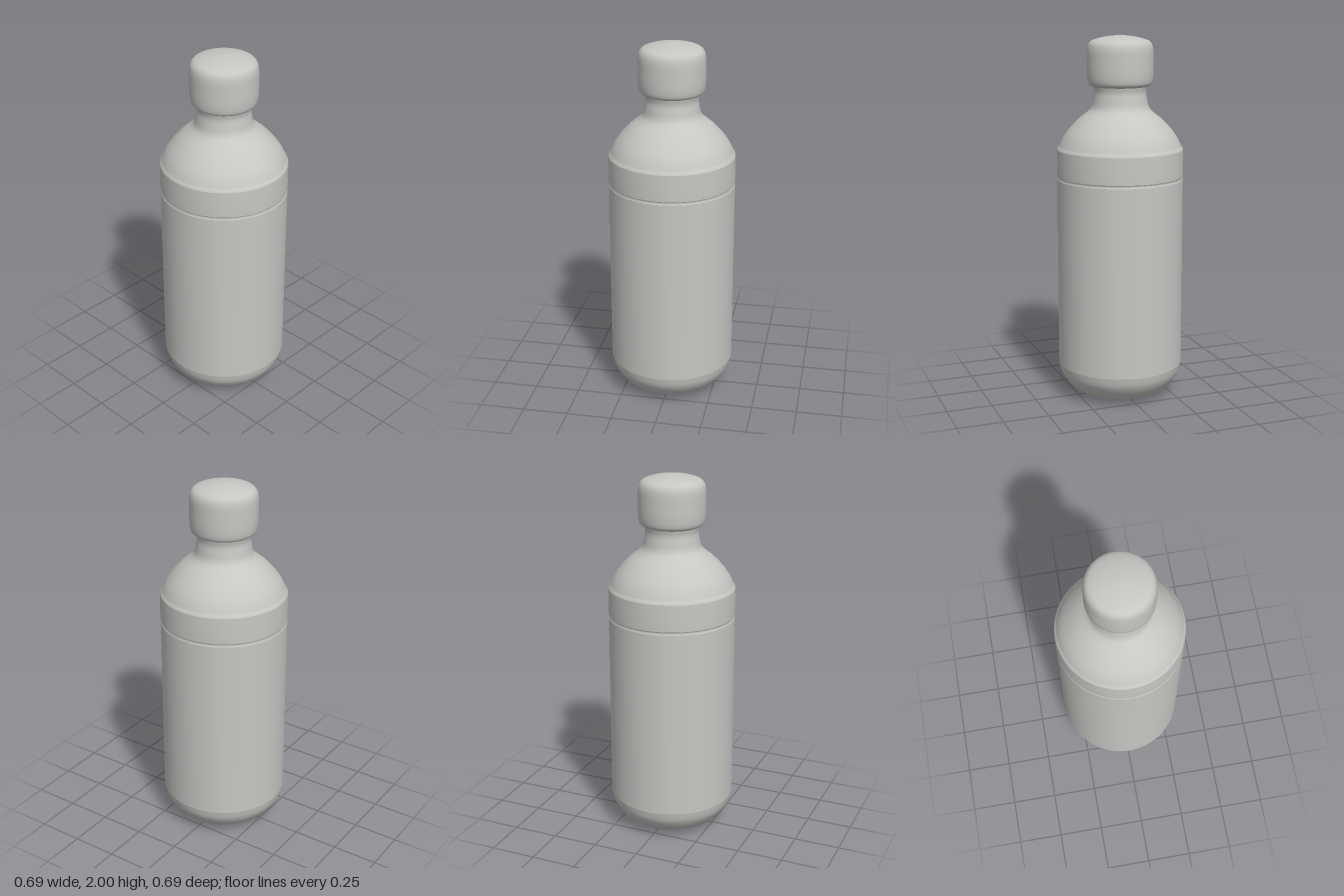
import * as THREE from 'three';

const SEGMENTS = 64;

// Revolves a profile of [radius, height] points, listed from bottom to top.
function turned(name, profile, material, smooth = false) {
  let points = profile.map(([r, y]) => new THREE.Vector2(r, y));
  if (smooth) {
    points = new THREE.SplineCurve(points).getPoints(profile.length * 4);
    points.forEach((p) => { p.x = Math.max(p.x, 0); });
  }
  const mesh = new THREE.Mesh(new THREE.LatheGeometry(points, SEGMENTS), material);
  mesh.name = name;
  return mesh;
}

export function createModel() {
  const model = new THREE.Group();
  model.name = 'bottle';

  const grey = new THREE.MeshStandardMaterial({ color: 0xc8c6c3 });
  grey.name = 'light grey';

  model.add(
    // Slightly bulging underside and the rounded foot
    turned('underside', [[0, 0], [0.1, 0.01], [0.17, 0.022], [0.235, 0.026]], grey),
    turned('roundedBase', [
      [0.235, 0.026], [0.265, 0.042], [0.305, 0.085], [0.332, 0.13], [0.345, 0.18],
    ], grey, true),

    // Straight body, closed at the top by a shallow groove
    turned('body', [[0.345, 0.18], [0.345, 0.7], [0.345, 1.222]], grey),
    turned('groove', [[0.345, 1.222], [0.339, 1.231], [0.345, 1.24]], grey),

    // Band between body and shoulder
    turned('band', [[0.345, 1.24], [0.346, 1.3], [0.344, 1.385]], grey),
    turned('bandEdge', [[0.344, 1.385], [0.341, 1.393], [0.334, 1.402]], grey),

    // Domed shoulder flowing into the neck
    turned('shoulderAndNeck', [
      [0.334, 1.402], [0.311, 1.45], [0.276, 1.498], [0.228, 1.548],
      [0.176, 1.59], [0.156, 1.618], [0.147, 1.66], [0.142, 1.695], [0.147, 1.725],
    ], grey, true),

    // Cap with soft lower lip and domed top
    turned('cap', [
      [0.147, 1.725], [0.168, 1.735], [0.177, 1.755], [0.181, 1.8], [0.181, 1.87],
      [0.179, 1.925], [0.168, 1.957], [0.142, 1.975], [0.08, 1.991], [0, 2],
    ], grey, true),
  );

  return model;
}
